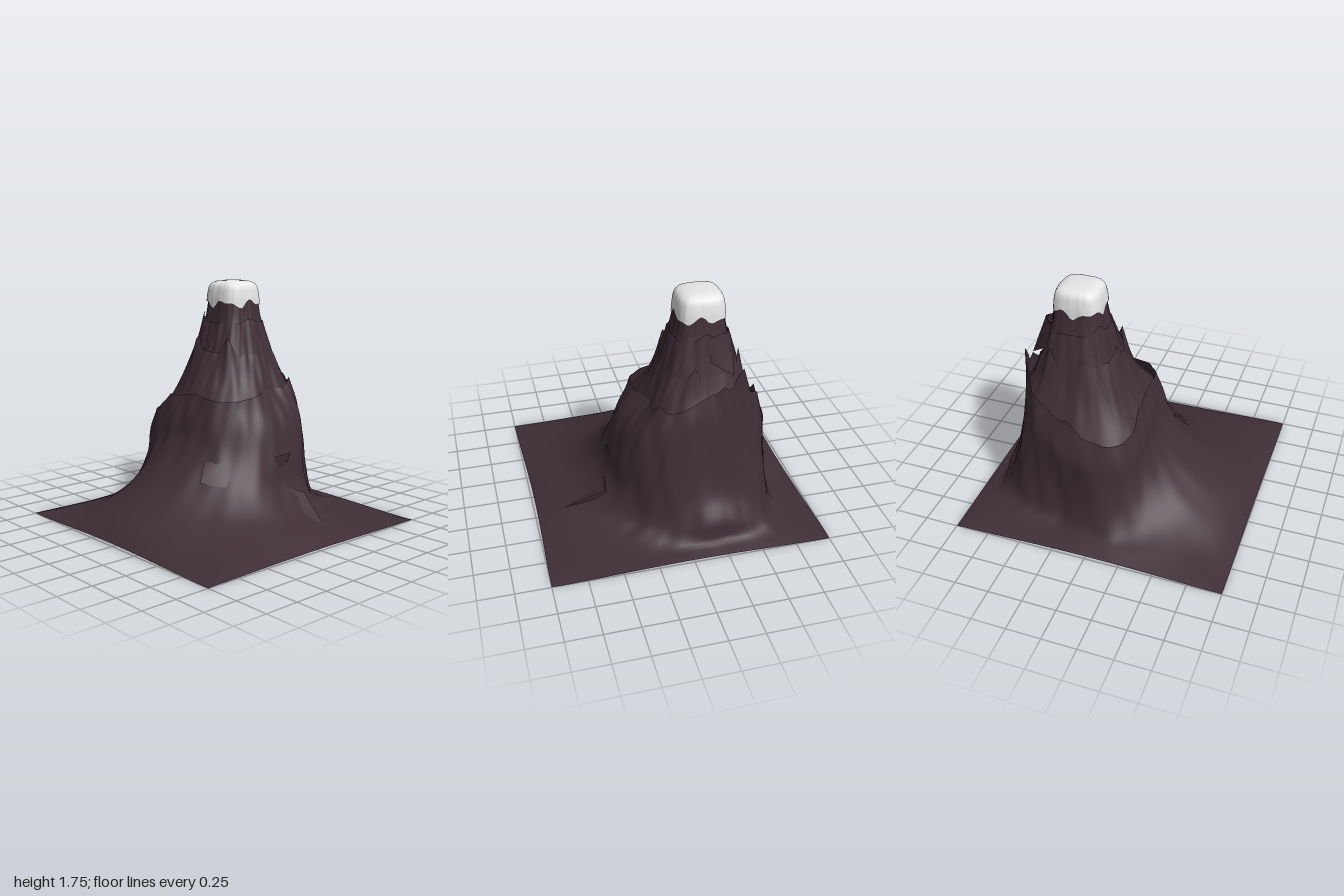
import * as THREE from 'three';

const AXIS_X = 0.29, AXIS_Z = -0.2, SIDE = 36;

// Profiles [radius, height, ...] upward, at every 45 degrees from +x round through +z
const LOWER = [
  [0.61, 0.06, 0.58, 0.2, 0.48, 0.36, 0.42, 0.65, 0.38, 0.95, 0.34, 1.1],
  [0.72, 0.05, 0.6, 0.13, 0.56, 0.33, 0.53, 0.6, 0.49, 0.83, 0.43, 0.97],
  [1.0, 0.06, 0.78, 0.15, 0.65, 0.3, 0.61, 0.5, 0.53, 0.75, 0.37, 0.95],
  [1.3, 0.07, 1.0, 0.18, 0.82, 0.33, 0.68, 0.53, 0.6, 0.75, 0.54, 0.91],
  [1.19, 0.13, 0.89, 0.28, 0.66, 0.48, 0.56, 0.63, 0.52, 0.78, 0.46, 0.93],
  [1.0, 0.05, 0.83, 0.11, 0.73, 0.23, 0.66, 0.42, 0.63, 0.6, 0.58, 0.76],
  [0.62, 0.04, 0.55, 0.09, 0.51, 0.22, 0.5, 0.48, 0.5, 0.66, 0.43, 0.86],
  [0.69, 0.05, 0.61, 0.1, 0.56, 0.25, 0.5, 0.55, 0.45, 0.85, 0.42, 1.06],
];
const MIDDLE = [
  [0.36, 1.0, 0.31, 1.1, 0.27, 1.2],
  [0.45, 0.88, 0.37, 1.05, 0.3, 1.2],
  [0.405, 0.87, 0.32, 1.07, 0.27, 1.21],
  [0.565, 0.8, 0.39, 1.02, 0.29, 1.22],
  [0.49, 0.82, 0.37, 1.06, 0.29, 1.24],
  [0.61, 0.66, 0.41, 0.95, 0.29, 1.24],
  [0.46, 0.75, 0.34, 1.0, 0.26, 1.2],
  [0.435, 0.92, 0.35, 1.08, 0.29, 1.23],
];
const UPPER = [[0.3, 1.1, 0.245, 1.28, 0.2, 1.44]];
const NECK = [[0.225, 1.32, 0.185, 1.45, 0.167, 1.55, 0.155, 1.66]];
const CAP = [[0.174, 1.575, 0.168, 1.64, 0.15, 1.71, 0.105, 1.738, 0, 1.745]];

// Rim peaks: [angle in degrees, height, half width in degrees]
const LOWER_PEAKS = [[327, 0.2, 13], [52, 0.06, 12], [345, 0.06, 8], [200, 0.06, 12], [262, 0.07, 12]];
const MIDDLE_PEAKS = [[140, 0.12, 13], [195, 0.1, 15], [300, 0.12, 12], [20, 0.08, 11], [250, 0.06, 14]];
const UPPER_PEAKS = [[0, 0.06, 26], [95, 0.03, 25], [215, 0.07, 20], [320, 0.05, 16]];

// Angles of points spaced along the square outline, so the corners stay exact
const OUTLINE = [];
for (let s = 0; s < 4; s++) {
  for (let i = 0; i < SIDE; i++) {
    const u = -1 + (2 * i) / SIDE;
    const [x, z] = [[1, u], [-u, 1], [-1, -u], [u, -1]][s];
    const bow = 0.02 * (1 - u * u) ** 2;
    OUTLINE.push({
      a: Math.atan2(z - AXIS_Z, x - AXIS_X),
      reach: Math.hypot(z - AXIS_Z, x - AXIS_X),
      edge: new THREE.Vector3(x, s % 2 ? 0.004 : bow, s % 2 ? z * (1 - bow) : z),
    });
  }
}

// Smooth periodic blend between the profiles
function blend(table, a, k) {
  const n = table.length;
  const t = ((a / (2 * Math.PI)) * n + n) % n, i = Math.floor(t), f = t - i;
  const p = [-1, 0, 1, 2].map((d) => table[(i + d + n) % n][k]);
  return p[1] + 0.5 * f * (p[2] - p[0] + f * (2 * p[0] - 5 * p[1] + 4 * p[2] - p[3]
    + f * (3 * (p[1] - p[2]) + p[3] - p[0])));
}

function peakHeight(peaks, a) {
  let h = 0;
  for (const [deg, height, width] of peaks) {
    const d = Math.abs(((a * 180 / Math.PI - deg + 900) % 360) - 180);
    h = Math.max(h, height * (1 - d / width));
  }
  return h;
}

function rough(a, y) {
  return 0.5 * Math.sin(9 * a + 5 * y) + 0.35 * Math.sin(17 * a - 7 * y + 1) + 0.25 * Math.sin(29 * a + 11 * y);
}

// Keeps the foot of the slopes inside the square outline
function limit(r, reach) {
  const t = r / reach;
  return t < 0.8 ? r : reach * (1 - 0.2 * Math.exp((0.8 - t) / 0.2));
}

// Lofts one tier of rock around the axis
function tier(name, material, table, { rows = 10, peaks = [], bump = 0.01, square = 0, foot = false, hem = 0 }) {
  const levels = table[0].length / 2, cols = OUTLINE.length;
  const pos = [], index = [];
  for (const { a, reach, edge } of OUTLINE) {
    const c = Math.cos(a), s = Math.sin(a);
    const boxy = 1 + square * ((c ** 4 + s ** 4) ** -0.25 - 1);
    const pts = foot ? [edge] : [];
    for (let k = 0; k < levels; k++) {
      let y = blend(table, a, 2 * k + 1);
      const r0 = blend(table, a, 2 * k);
      const r = limit(r0 * boxy + (r0 > 0.01 ? bump * rough(a, y) : 0), reach);
      if (k === levels - 1) y += peakHeight(peaks, a);
      if (k === 0) y += hem * (Math.sin(5 * a + 0.6) + 0.6 * Math.sin(9 * a));
      pts.push(new THREE.Vector3(AXIS_X + c * r, y, AXIS_Z + s * r));
    }
    const curve = new THREE.CatmullRomCurve3(pts, false, 'centripetal');
    for (let j = 0; j <= rows; j++) {
      const p = curve.getPoint(j / rows);
      pos.push(p.x, Math.max(p.y, 0), p.z);
    }
  }
  const h = rows + 1;
  for (let i = 0; i < cols; i++) {
    for (let j = 0; j < rows; j++) {
      const p = i * h + j, q = ((i + 1) % cols) * h + j;
      index.push(p, p + 1, q, q, p + 1, q + 1);
    }
  }
  return surface(name, material, pos, index);
}

function surface(name, material, pos, index) {
  const g = new THREE.BufferGeometry();
  g.setAttribute('position', new THREE.Float32BufferAttribute(pos, 3));
  g.setIndex(index);
  g.computeVertexNormals();
  const mesh = new THREE.Mesh(g, material);
  mesh.name = name;
  return mesh;
}

// A thin crag: a strip of rock between an upper and a lower line
function crag(name, material, upper, lower) {
  const pos = [], index = [];
  upper.forEach((p, i) => {
    pos.push(...p, ...lower[i]);
    if (i) index.push(2 * i - 2, 2 * i - 1, 2 * i, 2 * i, 2 * i - 1, 2 * i + 1);
  });
  return surface(name, material, pos, index);
}

export function createModel() {
  const rock = new THREE.MeshStandardMaterial({ color: 0x3f2e36, side: THREE.DoubleSide });
  rock.name = 'dark rock';
  const snow = new THREE.MeshStandardMaterial({ color: 0xe6e6e6, side: THREE.DoubleSide });
  snow.name = 'snow';

  // Crest of the ridge winding down the front slope
  const crest = [[-0.31, 0.5, 0.16], [-0.21, 0.52, 0.27], [0, 0.43, 0.41], [0.2, 0.3, 0.47], [0.36, 0.23, 0.5], [0.26, 0.06, 0.8]];

  const model = new THREE.Group();
  model.name = 'mountain';
  model.add(
    tier('lowerSlopes', rock, LOWER, { rows: 30, peaks: LOWER_PEAKS, bump: 0.012, foot: true }),
    tier('middleTier', rock, MIDDLE, { peaks: MIDDLE_PEAKS, bump: 0.01 }),
    tier('upperTier', rock, UPPER, { peaks: UPPER_PEAKS, bump: 0.008, square: 0.6 }),
    tier('neck', rock, NECK, { bump: 0.004, square: 0.8 }),
    tier('snowCap', snow, CAP, { rows: 16, bump: 0.002, square: 0.8, hem: 0.02 }),
    crag('frontRidgeSlope', rock, crest,
      [[-0.4, 0.38, 0.22], [-0.28, 0.35, 0.36], [-0.04, 0.26, 0.49], [0.12, 0.19, 0.54], [0.2, 0.13, 0.62], [0.22, 0.04, 0.81]]),
    crag('frontRidgeBack', rock, crest,
      [[-0.25, 0.42, 0.1], [-0.14, 0.4, 0.2], [0.03, 0.32, 0.36], [0.22, 0.22, 0.41], [0.34, 0.12, 0.44], [0.28, 0.02, 0.78]]),
    // Small overhang on the front face
    crag('frontOverhang', rock,
      [[0.09, 0.5, 0.38], [0.16, 0.53, 0.45], [0.27, 0.53, 0.44]],
      [[0.12, 0.46, 0.41], [0.18, 0.42, 0.43], [0.25, 0.42, 0.42]]),
    // Loose flap beside the neck
    crag('sideFlap', rock,
      [[0.44, 1.46, -0.38], [0.51, 1.5, -0.3], [0.5, 1.46, -0.2]],
      [[0.48, 1.3, -0.4], [0.6, 1.22, -0.36], [0.54, 1.3, -0.22]]),
  );
  return model;
}
